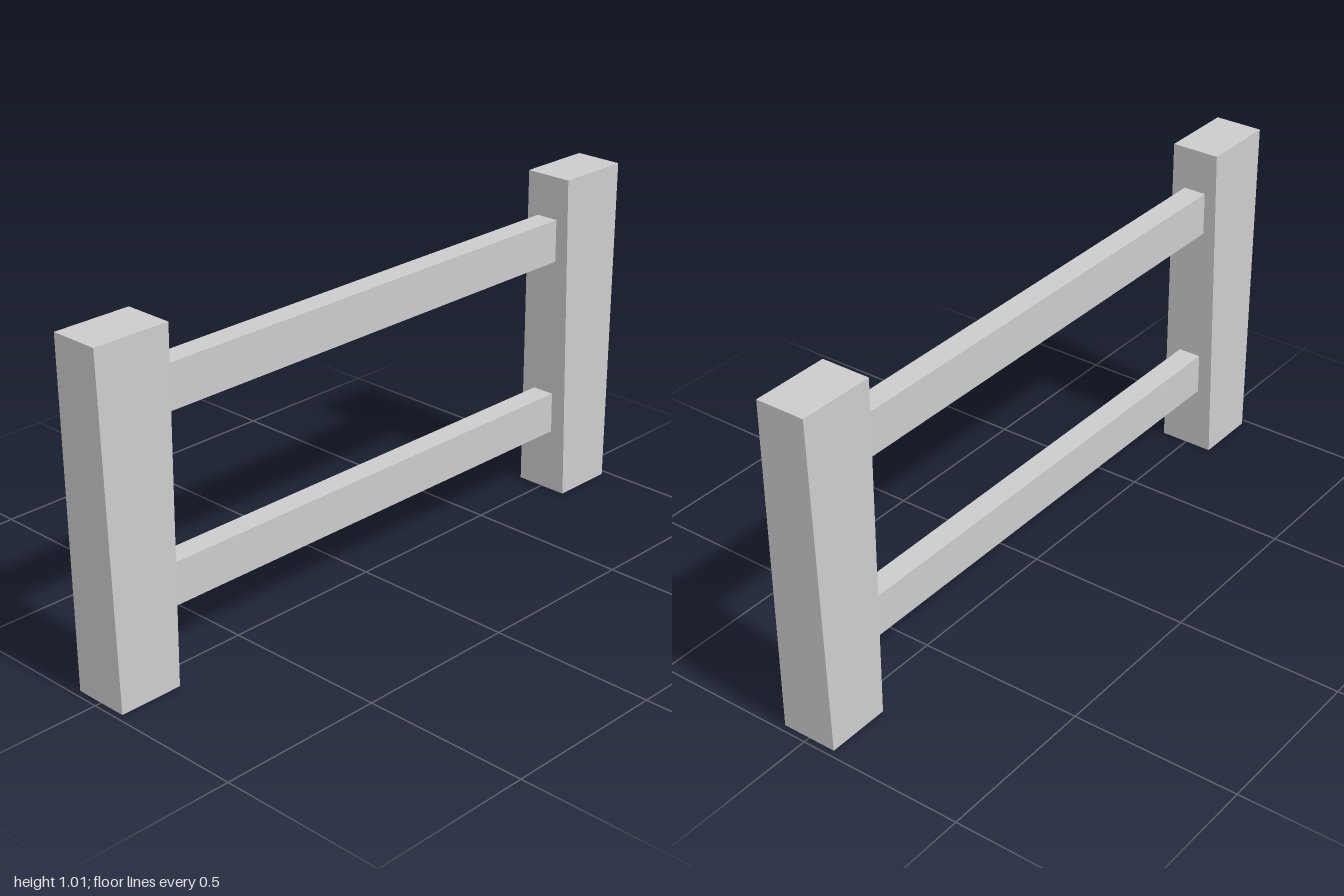
import * as THREE from 'three';

const material = new THREE.MeshStandardMaterial({ color: 0xcccccc, flatShading: true });
const HEIGHT = 1.01;

// Square post that widens in x and narrows in z towards the top
function createPost(side) {
  const geometry = new THREE.BoxGeometry(1, HEIGHT, 1);
  const p = geometry.attributes.position;
  for (let i = 0; i < p.count; i++) {
    const top = p.getY(i) > 0;
    p.setX(i, p.getX(i) * (top ? 0.234 : 0.195));
    p.setZ(i, p.getZ(i) * (top ? 0.147 : 0.168));
  }
  geometry.computeVertexNormals();
  const post = new THREE.Mesh(geometry, material);
  post.name = side > 0 ? 'leftPost' : 'rightPost';
  post.position.set(side * 0.883, HEIGHT / 2, 0);
  return post;
}

// Horizontal rail whose ends sit just inside the posts
function createRail(name, y, height, tilt) {
  const rail = new THREE.Mesh(new THREE.BoxGeometry(1.57, height, 0.07), material);
  rail.name = name;
  rail.position.set(0, y, -0.002);
  rail.rotation.z = tilt;
  return rail;
}

export function createModel() {
  const model = new THREE.Group();
  model.name = 'fence';
  for (const side of [-1, 1]) model.add(createPost(side));
  model.add(createRail('upperRail', 0.815, 0.13, 0));
  model.add(createRail('lowerRail', 0.262, 0.126, -0.003));
  return model;
}
